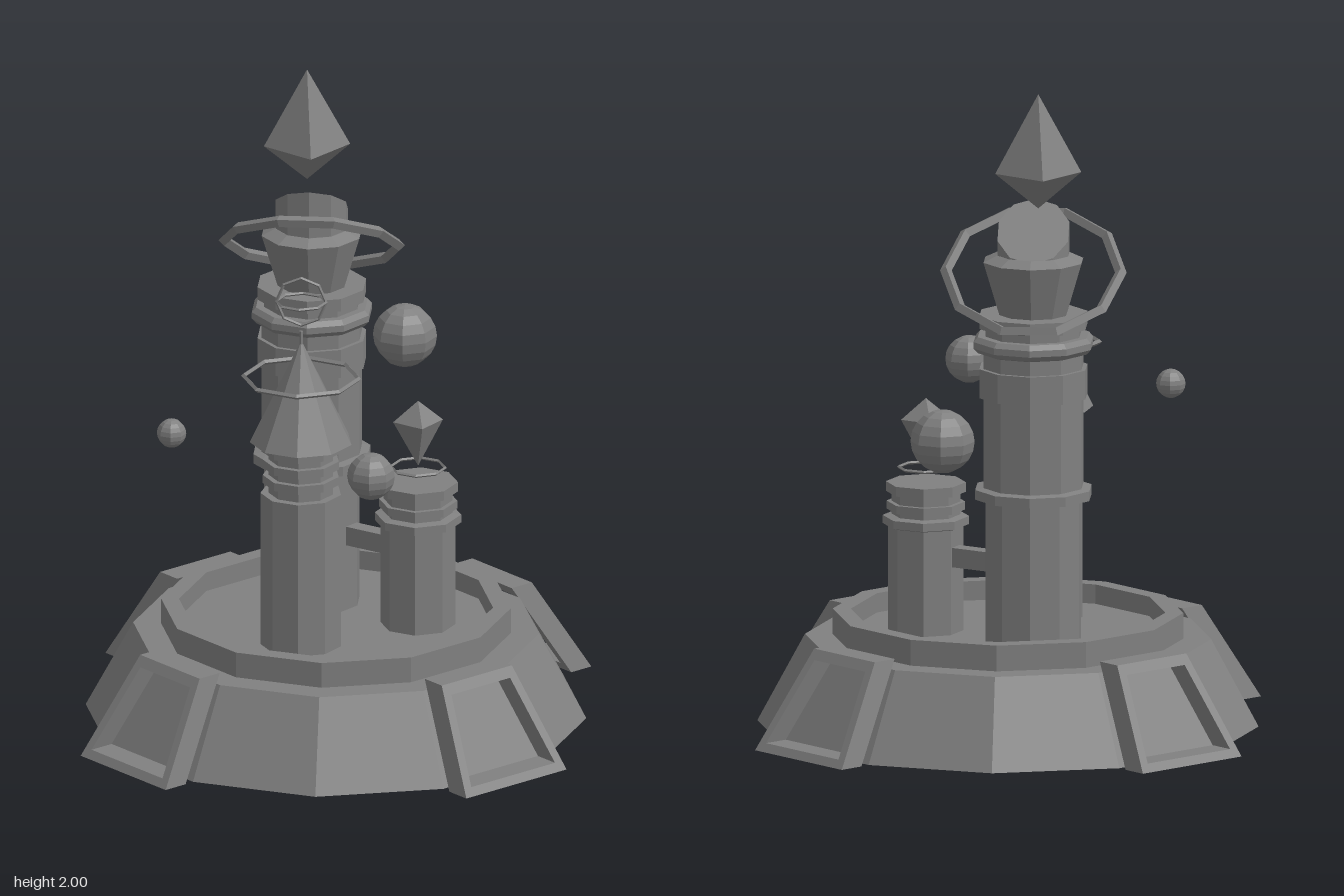
import * as THREE from 'three';

const stone = new THREE.MeshStandardMaterial({ color: 0x808080, flatShading: true, side: THREE.DoubleSide });
stone.name = 'grey stone';

function add(parent, name, geometry, x = 0, y = 0, z = 0) {
  const mesh = new THREE.Mesh(geometry, stone);
  mesh.name = name;
  mesh.position.set(x, y, z);
  parent.add(mesh);
  return mesh;
}

// Faceted solid of revolution from [radius, height] pairs
const turned = (profile, sides) =>
  new THREE.LatheGeometry(profile.map(([r, y]) => new THREE.Vector2(r, y)), sides);

// Four-sided crystal with different upper and lower heights
const crystal = (r, low, mid, high) => turned([[0, low], [r, mid], [0, high]], 4);

// Sloping trapezoid frame standing against the base
function gateFrame() {
  const trapezoid = (Shape, y0, y1, w0, w1) => {
    const s = new Shape();
    s.moveTo(-w0, y0);
    s.lineTo(w0, y0);
    s.lineTo(w1, y1);
    s.lineTo(-w1, y1);
    s.closePath();
    return s;
  };
  const shape = trapezoid(THREE.Shape, 0, 0.3, 0.2, 0.14);
  shape.holes.push(trapezoid(THREE.Path, 0.025, 0.27, 0.167, 0.117));
  const geometry = new THREE.ExtrudeGeometry(shape, { depth: 0.08, bevelEnabled: false });
  const p = geometry.attributes.position;
  for (let i = 0; i < p.count; i++) p.setZ(i, p.getZ(i) + 0.77 - p.getY(i) * 0.623);
  return geometry;
}

// Flat ring around the vertical axis
function ring(parent, name, radius, tube, sides, y) {
  const mesh = add(parent, name, new THREE.TorusGeometry(radius, tube, 4, sides), 0, y, 0);
  mesh.rotation.x = Math.PI / 2;
  return mesh;
}

function tower(parent, name, x, z) {
  const group = new THREE.Group();
  group.name = name;
  group.position.set(x, 0, z);
  parent.add(group);
  return group;
}

function bridge(parent, ax, az, bx, bz) {
  const length = Math.hypot(bx - ax, bz - az);
  const mesh = add(parent, 'bridge', new THREE.BoxGeometry(0.05, 0.06, length), (ax + bx) / 2, 0.53, (az + bz) / 2);
  mesh.rotation.y = Math.atan2(bx - ax, bz - az);
}

export function createModel() {
  const model = new THREE.Group();
  model.name = 'floatingTowers';

  // Hollow base with raised rim and sunken floor
  add(model, 'base', turned([[0.765, 0], [0.62, 0.27], [0.535, 0.27], [0.535, 0.35],
    [0.48, 0.35], [0.48, 0.29], [0, 0.29]], 12));
  for (let i = 0; i < 4; i++) {
    add(model, 'gate', gateFrame()).rotation.y = Math.PI / 4 + i * Math.PI / 2;
  }

  // Great tower with collars
  const great = tower(model, 'greatTower', -0.09, -0.195);
  add(great, 'greatTowerBody', turned([[0, 0.285], [0.15, 0.285], [0.15, 0.74], [0.183, 0.745], [0.183, 0.775],
    [0.157, 0.78], [0.157, 1.06], [0.17, 1.06], [0.17, 1.15], [0.157, 1.15], [0.157, 1.195], [0.175, 1.2],
    [0.188, 1.215], [0.188, 1.235], [0.175, 1.25], [0.15, 1.25], [0.15, 1.275], [0.17, 1.275],
    [0.17, 1.315], [0, 1.315]], 10));
  add(great, 'chalice', turned([[0.107, 1.315], [0.157, 1.48], [0.115, 1.5], [0, 1.5]], 10));

  // Crown cut off at a slant, high at the front
  const crown = new THREE.CylinderGeometry(0.113, 0.113, 0.2, 10);
  const cp = crown.attributes.position;
  for (let i = 0; i < cp.count; i++) {
    if (cp.getY(i) > 0) cp.setY(i, 0.135 + cp.getZ(i) * 0.7);
  }
  add(great, 'slantedCrown', crown, 0, 1.435, 0);
  add(great, 'tiltedRing', new THREE.TorusGeometry(0.267, 0.018, 4, 10), 0, 1.445, 0).rotation.x = 0.973;
  add(great, 'greatCrystal', crystal(0.132, 1.645, 1.755, 2), -0.016, 0, -0.017).rotation.y = 0.17;

  // Front tower with pointed roof, halo and crossed rings
  const front = tower(model, 'frontTower', -0.09, 0.195);
  add(front, 'frontTowerBody', turned([[0.125, 0.22], [0.125, 0.78], [0.1, 0.78], [0.1, 0.95]], 9));
  for (const y of [0.825, 0.875, 0.925]) {
    add(front, 'collar', new THREE.CylinderGeometry(0.118, 0.118, 0.026, 9), 0, y, 0);
  }
  add(front, 'roof', new THREE.ConeGeometry(0.158, 0.325, 9), 0, 1.108, 0);
  add(front, 'spike', new THREE.CylinderGeometry(0.006, 0.006, 0.07, 6), 0, 1.265, 0);
  ring(front, 'halo', 0.176, 0.008, 8, 1.15);
  ring(front, 'flatFinialRing', 0.076, 0.005, 8, 1.395);
  add(front, 'uprightFinialRing', new THREE.TorusGeometry(0.076, 0.005, 4, 8), 0, 1.395, 0);

  // Small tower with floating ring and crystal
  const small = tower(model, 'smallTower', 0.25, -0.01);
  add(small, 'smallTowerBody', turned([[0, 0.285], [0.115, 0.285], [0.115, 0.615], [0.132, 0.62], [0.132, 0.645],
    [0.105, 0.65], [0.105, 0.665], [0.12, 0.665], [0.12, 0.69], [0.105, 0.69], [0.105, 0.72],
    [0.122, 0.72], [0.122, 0.75], [0, 0.75]], 8));
  ring(small, 'smallRing', 0.083, 0.005, 8, 0.795);
  add(small, 'smallCrystal', crystal(0.077, 0.8, 0.945, 1.01)).rotation.y = 0.25;

  bridge(model, -0.09, -0.195, 0.25, -0.01);
  bridge(model, -0.09, -0.195, -0.09, 0.195);

  // Floating orbs
  for (const [x, z, r] of [[-0.477, 0.31, 0.045], [0.16, -0.617, 0.098], [0.16, 0.643, 0.073]]) {
    add(model, 'orb', new THREE.SphereGeometry(r, 8, 10), x, 1, z);
  }
  return model;
}
